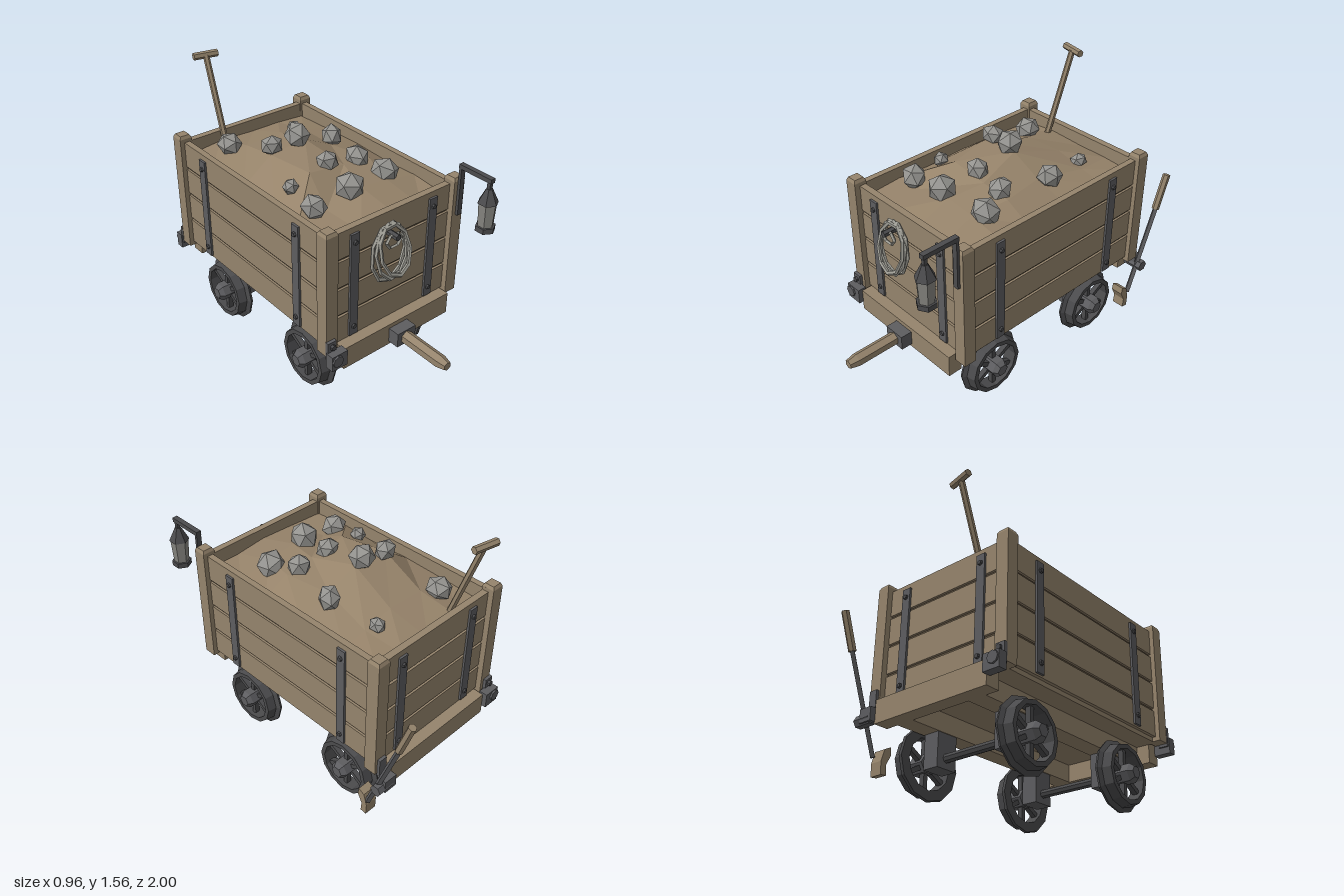
import * as THREE from 'three';

const mat = (name, color) => Object.assign(new THREE.MeshStandardMaterial({ color }), { name });

export function createModel() {
  const wood = mat('wood', 0x95846c), gapWood = mat('dark wood', 0x5c4f3e), dirt = mat('dirt', 0x96836a);
  const iron = mat('iron', 0x5d5d60), darkIron = mat('dark iron', 0x4b4b4d), rock = mat('rock', 0x94938f);
  const rope = mat('rope', 0x9b9a92), glass = mat('lantern glass', 0x85847f);
  const root = new THREE.Group();
  root.name = 'mineCart';
  const cart = new THREE.Group();
  cart.name = 'cart';
  cart.position.set(-0.01, 0, -0.083);
  root.add(cart);

  // helpers: faceted mesh, box, bar between two points
  function add(parent, name, geo, material, x = 0, y = 0, z = 0) {
    const g = geo.index ? geo.toNonIndexed() : geo;
    g.computeVertexNormals();
    const m = new THREE.Mesh(g, material);
    m.name = name;
    m.position.set(x, y, z);
    parent.add(m);
    return m;
  }
  const box = (p, name, material, w, h, d, x, y, z) =>
    add(p, name, new THREE.BoxGeometry(w, h, d), material, x, y, z);
  function bar(p, name, material, a, b, r0, r1 = r0, sides = 6) {
    const A = new THREE.Vector3(...a), B = new THREE.Vector3(...b), d = B.clone().sub(A);
    const m = add(p, name, new THREE.CylinderGeometry(r1, r0, d.length(), sides), material);
    m.position.copy(A).add(B).multiplyScalar(0.5);
    m.quaternion.setFromUnitVectors(new THREE.Vector3(0, 1, 0), d.normalize());
    return m;
  }

  // corner posts with chamfered tops
  for (const sx of [-1, 1]) for (const sz of [-1, 1]) {
    const x = sx * 0.424, z = sz * 0.645;
    box(cart, 'cornerPost', wood, 0.074, 0.705, 0.074, x, 0.7925, z);
    const cap = new THREE.CylinderGeometry(0.04, 0.0523, 0.018, 4).rotateY(Math.PI / 4);
    add(cart, 'postCap', cap, wood, x, 1.154, z);
  }

  // plank walls with recessed backing, iron straps and bolts
  for (const s of [-1, 1]) {
    for (let i = 0; i < 4; i++) {
      const y = 0.541 + i * 0.169;
      box(cart, 'sidePlank', wood, 0.035, 0.152, 1.25, s * 0.417, y, 0);
      box(cart, 'endPlank', wood, 0.79, 0.152, 0.038, 0, y, s * 0.631);
    }
    box(cart, 'sideBacking', gapWood, 0.016, 0.6, 1.24, s * 0.414, 0.78, 0);
    box(cart, 'endBacking', gapWood, 0.79, 0.6, 0.018, 0, 0.78, s * 0.628);
    for (const t of [-1, 1]) {
      box(cart, 'sideStrap', iron, 0.014, 0.615, 0.054, s * 0.44, 0.783, t * 0.418);
      box(cart, 'endStrap', iron, 0.054, 0.615, 0.014, t * 0.264, 0.783, s * 0.655);
      for (const y of [0.53, 1.04]) {
        bar(cart, 'sideBolt', darkIron, [s * 0.44, y, t * 0.418], [s * 0.458, y, t * 0.418], 0.017, 0.012);
        bar(cart, 'endBolt', darkIron, [t * 0.264, y, s * 0.655], [t * 0.264, y, s * 0.672], 0.017, 0.012);
      }
    }
    // chassis
    box(cart, 'endBeam', wood, 0.745, 0.13, 0.085, 0, 0.4, s * 0.673);
    box(cart, 'chassisRail', wood, 0.11, 0.12, 1.28, s * 0.24, 0.395, 0);
  }
  box(cart, 'floor', wood, 0.83, 0.03, 1.27, 0, 0.455, 0);

  // wheels, axles and bearing blocks
  const rim = [[0.14, -0.04], [0.195, -0.04], [0.2, -0.026], [0.175, -0.012], [0.166, 0.04], [0.14, 0.04], [0.14, -0.04]]
    .map(p => new THREE.Vector2(...p));
  for (const z of [-0.385, 0.39]) {
    bar(cart, 'axle', darkIron, [-0.4, 0.205, z], [0.4, 0.205, z], 0.025, 0.025, 8);
    for (const s of [-1, 1]) {
      box(cart, 'bearingBlock', iron, 0.096, 0.19, 0.13, s * 0.238, 0.242, z);
      const wheel = new THREE.Group();
      wheel.name = 'wheel';
      wheel.position.set(s * 0.35, 0.203, z);
      wheel.rotation.z = -s * Math.PI / 2;
      cart.add(wheel);
      add(wheel, 'rim', new THREE.LatheGeometry(rim, 12), darkIron);
      bar(wheel, 'hub', iron, [0, -0.035, 0], [0, 0.06, 0], 0.055);
      bar(wheel, 'hubCap', iron, [0, 0.06, 0], [0, 0.086, 0], 0.055, 0.035);
      for (let i = 0; i < 6; i++) {
        const a = i * Math.PI / 3;
        const spoke = box(wheel, 'spoke', darkIron, 0.115, 0.03, 0.026, Math.cos(a) * 0.095, 0, -Math.sin(a) * 0.095);
        spoke.rotation.y = a;
      }
    }
  }

  // drawbar
  box(root, 'drawbarSocket', iron, 0.127, 0.085, 0.08, -0.008, 0.398, 0.66);
  bar(root, 'drawbar', wood, [-0.01, 0.397, 0.66], [-0.01, 0.397, 0.95], 0.037);
  bar(root, 'drawbarTip', wood, [-0.01, 0.397, 0.95], [-0.01, 0.397, 1], 0.037, 0.025);

  // corner brackets on the right side
  for (const s of [-1, 1]) {
    const z = s * 0.717;
    box(cart, 'cornerBracket', iron, 0.1, 0.09, 0.05, -0.42, 0.432, z);
    box(cart, 'bracketTab', iron, 0.055, 0.11, 0.02, -0.436, 0.48, s * 0.69);
    bar(cart, 'bracketBoss', iron, [-0.436, 0.442, z], [-0.436, 0.442, z + s * 0.035], 0.033, 0.033, 8);
    bar(cart, 'bracketBolt', darkIron, [-0.436, 0.505, s * 0.69], [-0.436, 0.505, s * 0.715], 0.016);
  }

  // brake lever, pivot and shoe
  box(root, 'leverBracket', iron, 0.08, 0.075, 0.055, 0.4, 0.385, -0.803);
  bar(root, 'leverPivot', iron, [0.38, 0.37, -0.8], [0.482, 0.37, -0.8], 0.034);
  box(root, 'leverTab', iron, 0.05, 0.11, 0.02, 0.41, 0.48, -0.772);
  bar(root, 'brakeLever', iron, [0.447, 0.2, -0.72], [0.447, 0.73, -0.912], 0.016, 0.016, 4);
  bar(root, 'leverGrip', wood, [0.447, 0.72, -0.908], [0.447, 0.925, -0.978], 0.022);
  const shoe = new THREE.Shape([[0.663, 0.257], [0.7, 0.237], [0.72, 0.17], [0.717, 0.1], [0.68, 0.104], [0.685, 0.16], [0.657, 0.215]]
    .map(p => new THREE.Vector2(...p)));
  add(root, 'brakeShoe', new THREE.ExtrudeGeometry(shoe, { depth: 0.073, bevelEnabled: false }).rotateY(Math.PI / 2), wood, 0.382);

  // lantern on its hanger
  const lx = 0.415, lz = 0.795;
  box(root, 'hangerPlate', darkIron, 0.03, 0.3, 0.016, lx, 1.095, 0.608);
  box(root, 'hangerArm', darkIron, 0.03, 0.025, 0.215, lx, 1.233, 0.705);
  box(root, 'hangerHook', darkIron, 0.02, 0.06, 0.02, lx, 1.2, lz);
  bar(root, 'lanternRoof', darkIron, [lx, 1.105, lz], [lx, 1.185, lz], 0.056, 0.017);
  bar(root, 'lanternGlass', glass, [lx, 0.965, lz], [lx, 1.105, lz], 0.042, 0.05);
  bar(root, 'lanternBase', darkIron, [lx, 0.942, lz], [lx, 0.972, lz], 0.054);

  // coiled rope on a peg
  bar(root, 'ropePeg', darkIron, [-0.075, 1.03, 0.56], [-0.075, 1.03, 0.67], 0.018);
  for (let i = 0; i < 3; i++) {
    const loop = new THREE.TorusGeometry(0.122 - i * 0.008, 0.011, 5, 9).rotateZ(i * 0.25).scale(0.92, 1.32, 1);
    const m = add(root, 'ropeLoop', loop, rope, -0.07 + (i - 1) * 0.008, 0.915 + i * 0.01, 0.605 + i * 0.017);
    m.rotation.set(-0.08 - 0.09 * i, 0, (i - 1) * 0.09);
  }
  const tie = add(root, 'ropeTie', new THREE.TorusGeometry(0.05, 0.01, 4, 6), rope, -0.075, 1.0, 0.637);
  tie.scale.y = 0.8;

  // heaped dirt
  const xs = [-0.405, -0.2, 0.03, 0.21, 0.385], zs = [-0.7, -0.47, -0.17, 0.1, 0.3, 0.535];
  const heights = [
    [1.04, 1.06, 1.05, 1.05, 1.04], [1.05, 1.11, 1.12, 1.08, 1.05], [1.06, 1.19, 1.21, 1.12, 1.06],
    [1.05, 1.18, 1.15, 1.13, 1.05], [1.06, 1.07, 1.12, 1.1, 1.06], [1.04, 1.05, 1.06, 1.04, 1.04]];
  const heap = new THREE.PlaneGeometry(1, 1, 4, 5).rotateX(-Math.PI / 2);
  for (let i = 0; i < 30; i++) {
    const r = Math.floor(i / 5), c = i % 5, inner = c % 4 && r % 5;
    heap.attributes.position.setXYZ(i, xs[c] + (inner ? (r % 2 - 0.5) * 0.05 : 0), heights[r][c], zs[r]);
  }
  add(root, 'dirtHeap', heap, dirt);

  // loose boulders: x, y, z, radius
  [[-0.25, 1.12, -0.53, 0.07], [0.18, 1.1, -0.5, 0.047], [-0.195, 1.225, -0.2, 0.062], [-0.04, 1.245, -0.18, 0.08],
    [0.23, 1.14, -0.215, 0.066], [-0.295, 1.14, 0.095, 0.048], [-0.03, 1.185, 0.065, 0.064], [0.16, 1.155, 0.085, 0.07],
    [-0.295, 1.11, 0.285, 0.073], [-0.062, 1.145, 0.285, 0.088], [0.22, 1.115, 0.24, 0.08]].forEach(([x, y, z, r], i) => {
    const m = add(root, 'boulder', new THREE.IcosahedronGeometry(r, 0), rock, x, y, z);
    m.scale.set(1 + 0.1 * Math.sin(i * 2), 0.93, 1 + 0.1 * Math.cos(i * 3));
    m.rotation.set(i * 1.3, i * 0.7, i * 2.1);
  });

  // shovel stuck in the heap
  bar(root, 'shovelShaft', wood, [-0.2, 1.04, -0.64], [-0.188, 1.54, -0.815], 0.018);
  bar(root, 'shovelHandle', wood, [-0.258, 1.543, -0.835], [-0.118, 1.543, -0.807], 0.021);

  return root;
}
